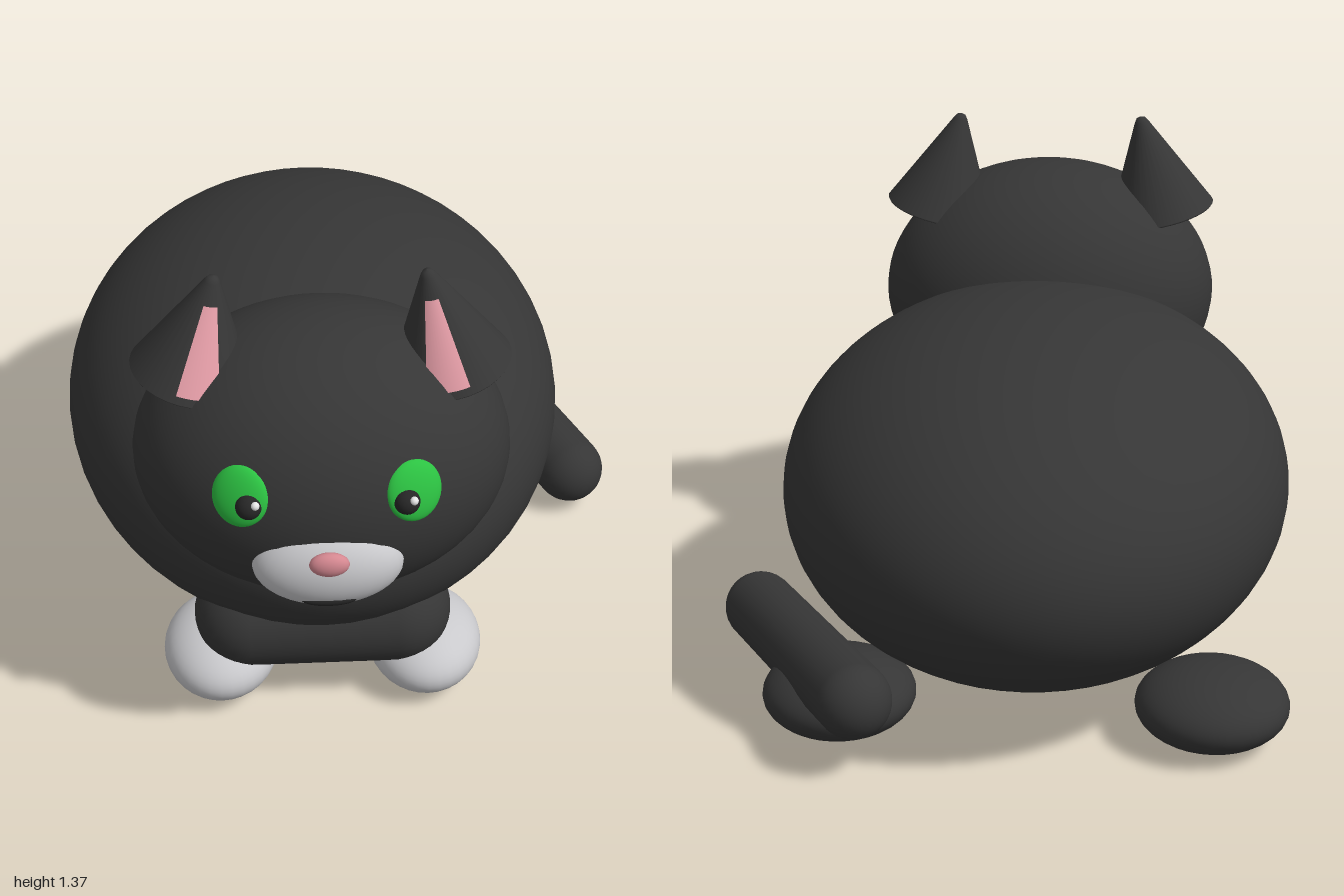
import * as THREE from 'three';

const mat = (name, color) => {
  const m = new THREE.MeshStandardMaterial({ color });
  m.name = name;
  return m;
};

export function createModel() {
  const fur = mat('black fur', 0x363636);
  const white = mat('pale fur', 0xc9c9cc);
  const green = mat('green iris', 0x2cc242);
  const dark = mat('pupil black', 0x262626);
  const pink = mat('inner ear pink', 0xe8a0aa);
  const rose = mat('nose rose', 0xd58891);
  const glint = mat('eye glint', 0xffffff);
  const pinkTwoSided = pink;
  pinkTwoSided.side = THREE.DoubleSide;

  const cat = new THREE.Group();
  cat.name = 'cat';
  cat.position.x = -0.09; // the tail widens the model on one side

  const add = (name, geometry, material, parent = cat) => {
    const mesh = new THREE.Mesh(geometry, material);
    mesh.name = name;
    parent.add(mesh);
    return mesh;
  };
  const ellipsoid = (name, material, [x, y, z], [rx, ry, rz], segments = 32) => {
    const geo = new THREE.SphereGeometry(1, segments, segments * 0.75);
    geo.scale(rx, ry, rz);
    const mesh = add(name, geo, material);
    mesh.position.set(x, y, z);
    return mesh;
  };
  const up = new THREE.Vector3(0, 1, 0);
  const capsule = (name, material, from, to, radius) => {
    const a = new THREE.Vector3(...from), b = new THREE.Vector3(...to);
    const dir = b.clone().sub(a);
    const mesh = add(name, new THREE.CapsuleGeometry(radius, dir.length(), 10, 28), material);
    mesh.position.copy(a).add(b).multiplyScalar(0.5);
    mesh.quaternion.setFromUnitVectors(up, dir.normalize());
    return mesh;
  };

  // Trunk, chest and head
  ellipsoid('body', fur, [0, 0.527, -0.122], [0.698, 0.49, 0.878], 56);
  capsule('chest', fur, [-0.2, 0.25, 0.53], [0.2, 0.25, 0.53], 0.15);
  ellipsoid('head', fur, [0, 0.845, 0.55], [0.486, 0.385, 0.386], 48);

  // Muzzle
  ellipsoid('muzzle', white, [0, 0.736, 0.885], [0.19, 0.12, 0.095]);
  ellipsoid('nose', rose, [0, 0.803, 0.976], [0.05, 0.034, 0.024], 20);
  ellipsoid('mouth', dark, [0, 0.667, 0.95], [0.07, 0.018, 0.018], 20);

  // Tail curled along the left flank
  capsule('tail', fur, [0.425, 0.21, -0.865], [0.78, 0.12, -0.192], 0.1);

  // Ear profile with a softly rounded tip
  const earProfile = [[0, 0], [0.152, 0], [0.156, 0.005], [0.02, 0.282], [0.012, 0.294], [0, 0.298]]
    .map(([r, y]) => new THREE.Vector2(r, y));

  for (const s of [-1, 1]) {
    const side = s > 0 ? 'left' : 'right';

    // Paws
    ellipsoid(`${side}FrontPaw`, white, [s * 0.282, 0.107, 0.51], [0.157, 0.107, 0.192]);
    ellipsoid(`${side}BackPaw`, fur, [s * 0.495, 0.105, -0.63], [0.205, 0.105, 0.2]);

    // Eyes
    const eye = ellipsoid(`${side}Iris`, green, [s * 0.212, 0.945, 0.872], [0.074, 0.081, 0.028]);
    eye.rotation.set(-0.33, s * 0.4, 0, 'YXZ');
    ellipsoid(`${side}Pupil`, dark, [s * 0.193, 0.935, 0.903], [0.033, 0.033, 0.033], 20);
    ellipsoid(`${side}Glint`, glint, [s * 0.193 + 0.016, 0.953, 0.924], [0.011, 0.011, 0.011], 12);

    // Ears lean inwards, with a lining curved over the front of the cone
    const ear = new THREE.Group();
    ear.name = `${side}Ear`;
    ear.position.set(s * 0.329, 1.084, 0.547);
    ear.rotation.z = s * 0.232;
    cat.add(ear);
    add('earShell', new THREE.LatheGeometry(earProfile, 32), fur, ear);
    const start = s > 0 ? -0.48 : -0.27;
    const lining = new THREE.CylinderGeometry(0.047, 0.15, 0.21, 10, 1, true, start, 0.75);
    add('earLining', lining, pinkTwoSided, ear).position.y = 0.13;
  }

  const model = new THREE.Group();
  model.name = 'lyingCat';
  model.add(cat);
  return model;
}
